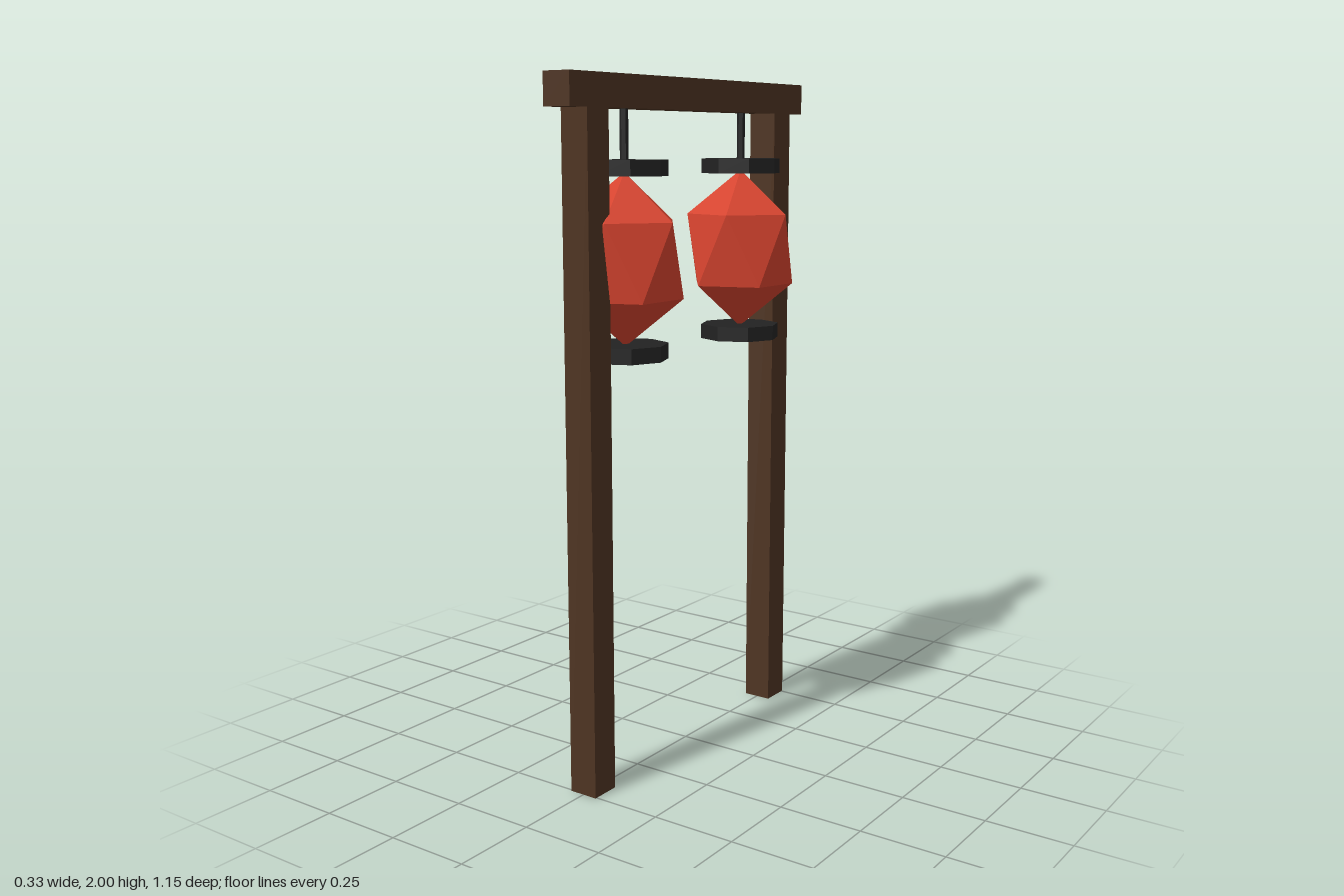
import * as THREE from 'three';

const material = (name, color) => {
  const m = new THREE.MeshStandardMaterial({ color, flatShading: true });
  m.name = name;
  return m;
};

export function createModel() {
  const wood = material('dark wood', 0x4e3422);
  const paper = material('red paper', 0xd6432e);
  const black = material('black', 0x222222);

  const add = (parent, name, geometry, mat, x, y, z) => {
    const mesh = new THREE.Mesh(geometry, mat);
    mesh.name = name;
    mesh.position.set(x, y, z);
    parent.add(mesh);
  };

  const model = new THREE.Group();
  model.name = 'lanternStand';

  // Frame: crossbeam on two posts
  add(model, 'crossbeam', new THREE.BoxGeometry(0.088, 0.09, 1.15), wood, 0, 1.955, 0);
  const postGeometry = new THREE.BoxGeometry(0.088, 1.91, 0.09);

  // Lantern body: icosahedron turned to stand on a corner, then stretched upward
  const bodyGeometry = new THREE.IcosahedronGeometry(1, 0);
  bodyGeometry.rotateZ(-Math.atan(2 / (1 + Math.sqrt(5))));
  bodyGeometry.scale(0.182, 0.24, 0.182);
  const capGeometry = new THREE.CylinderGeometry(0.122, 0.122, 0.044, 8);
  const cordGeometry = new THREE.CylinderGeometry(0.012, 0.012, 0.16, 6);

  for (const [side, s] of [['front', 1], ['back', -1]]) {
    add(model, side + 'Post', postGeometry, wood, 0, 0.955, s * 0.46);

    // Hanging lantern with a cap at each end
    const lantern = new THREE.Group();
    lantern.name = side + 'Lantern';
    lantern.position.set(0, 1.5, s * 0.292);
    add(lantern, 'body', bodyGeometry, paper, 0, 0, 0);
    add(lantern, 'topCap', capGeometry, black, 0, 0.252, 0);
    add(lantern, 'bottomCap', capGeometry, black, 0, -0.254, 0);
    add(lantern, 'cord', cordGeometry, black, 0, 0.34, 0);
    model.add(lantern);
  }
  return model;
}
